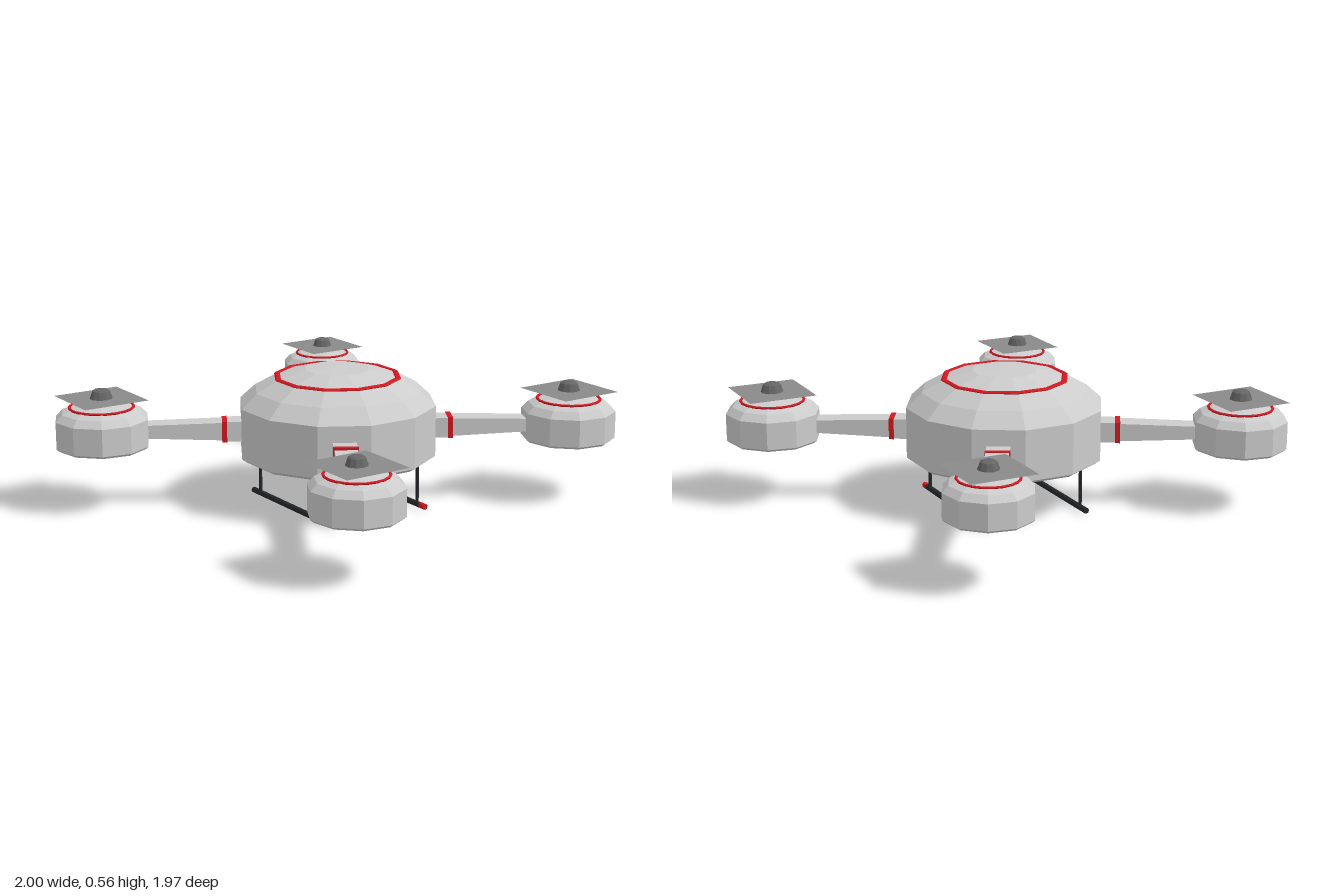
import * as THREE from 'three';

const mat = (color) => new THREE.MeshStandardMaterial({ color, flatShading: true, side: THREE.DoubleSide });
const GREY = mat(0xcccccc), RED = mat(0xd01820), BLACK = mat(0x24272a), DARK = mat(0x666666), BLADE = mat(0x8a8a8a);

function add(parent, name, geometry, material, x = 0, y = 0, z = 0) {
  const mesh = new THREE.Mesh(geometry, material);
  mesh.name = name;
  mesh.position.set(x, y, z);
  parent.add(mesh);
  return mesh;
}

// Faceted turned solid from [radius, height] pairs
function turned(profile, sides, turn) {
  const points = profile.map(([r, y]) => new THREE.Vector2(r, y));
  return new THREE.LatheGeometry(points, sides).rotateY(turn);
}

// Flattened trim ring lying in the ground plane
function ring(radius, width, sides, turn, height = 0.012) {
  return new THREE.TorusGeometry(radius, width / 2, 6, sides)
    .rotateX(Math.PI / 2).scale(1, height / width, 1).rotateY(turn);
}

// Box along x from x0 to x1 whose far end has its own height, width and level
function taperedBeam(x0, x1, near, far) {
  const geometry = new THREE.BoxGeometry(1, 1, 1);
  const p = geometry.attributes.position;
  for (let i = 0; i < p.count; i++) {
    const end = p.getX(i) > 0 ? far : near;
    p.setXYZ(i, p.getX(i) > 0 ? x1 : x0, end.y + p.getY(i) * end.h, p.getZ(i) * end.w);
  }
  return geometry;
}

function createBody() {
  const body = new THREE.Group();
  body.name = 'body';
  const turn = Math.PI / 12;
  add(body, 'hull', turned([
    [0, 0.195], [0.375, 0.195], [0.398, 0.21], [0.398, 0.415], [0.335, 0.473],
    [0.255, 0.517], [0.13, 0.552], [0, 0.557],
  ], 12, turn), GREY);
  add(body, 'topTrimRing', ring(0.245, 0.026, 12, turn), RED, 0, 0.521);
  add(body, 'bottomTrimRing', ring(0.325, 0.026, 12, turn, 0.008), RED, 0, 0.195);
  for (const r of [0.25, 0.18]) add(body, 'bottomSeam', ring(r, 0.01, 24, 0, 0.008), BLACK, 0, 0.195);
  return body;
}

// Motor pod with hub and flat square rotor, standing on its own base
function createPod(scale) {
  const pod = new THREE.Group();
  pod.name = 'rotorPod';
  const turn = Math.PI / 20;
  add(pod, 'podHousing', turned([
    [0, 0], [0.178, 0], [0.19, 0.01], [0.19, 0.12], [0.163, 0.148],
    [0.125, 0.164], [0.06, 0.178], [0, 0.18],
  ], 10, turn), GREY);
  add(pod, 'podTrimRing', ring(0.127, 0.012, 20, 0, 0.01), RED, 0, 0.165);
  add(pod, 'podBottomSeam', ring(0.15, 0.01, 20, 0, 0.006), BLACK);
  add(pod, 'hub', turned([[0.052, 0.17], [0.047, 0.196], [0.035, 0.23], [0.026, 0.236], [0, 0.237]], 10, 0), DARK);
  add(pod, 'rotorPlate', new THREE.PlaneGeometry(0.277 / Math.sqrt(scale), 0.277 / Math.sqrt(scale)).rotateX(-Math.PI / 2),
    BLADE, 0, 0.2);
  pod.scale.setScalar(scale);
  return pod;
}

// Arm pointing along +x: root block, red band and tapered beam
function createArm(endLevel) {
  const arm = new THREE.Group();
  arm.name = 'arm';
  const root = { y: 0.31, h: 0.08, w: 0.092 };
  add(arm, 'armBeam', taperedBeam(0.33, 0.8, root, { y: endLevel, h: 0.05, w: 0.084 }), GREY);
  add(arm, 'armRoot', taperedBeam(0.33, 0.445, root, root), GREY);
  const band = { y: 0.31, h: 0.084, w: 0.096 };
  add(arm, 'armBand', taperedBeam(0.442, 0.462, band, band), RED);
  return arm;
}

// Landing rail with two legs and a red front tip
function createSkid(x) {
  const skid = new THREE.Group();
  skid.name = 'landingSkid';
  const rod = (r, length) => new THREE.CylinderGeometry(r, r, length, 8);
  for (const z of [-0.24, 0.24]) add(skid, 'skidLeg', rod(0.007, 0.19), BLACK, 0, 0.107, z);
  add(skid, 'skidRail', rod(0.012, 0.585).rotateX(Math.PI / 2), BLACK, 0, 0.012, 0);
  add(skid, 'skidTip', rod(0.0125, 0.03).rotateX(Math.PI / 2), RED, 0, 0.0125, 0.28);
  skid.position.x = x;
  return skid;
}

export function createModel() {
  const model = new THREE.Group();
  model.name = 'quadcopter';
  const centreZ = -0.006;

  const body = createBody();
  body.position.z = centreZ;
  model.add(body);

  // Four arms a quarter turn apart; pods differ slightly in size and level
  const pods = [
    { scale: 1, base: 0.246 },
    { scale: 0.94, base: 0.236 },
    { scale: 1, base: 0.246 },
    { scale: 0.9, base: 0.259 },
  ];
  pods.forEach(({ scale, base }, i) => {
    const angle = Math.PI / 6 + i * Math.PI / 2;
    const arm = createArm(base + 0.068 * scale);
    arm.rotation.y = -angle;
    arm.position.z = centreZ;
    const pod = createPod(scale);
    pod.position.set(0.937 * Math.cos(angle), base, centreZ + 0.937 * Math.sin(angle));
    model.add(arm, pod);
  });

  for (const side of [-1, 1]) model.add(createSkid(side * 0.22));
  return model;
}
